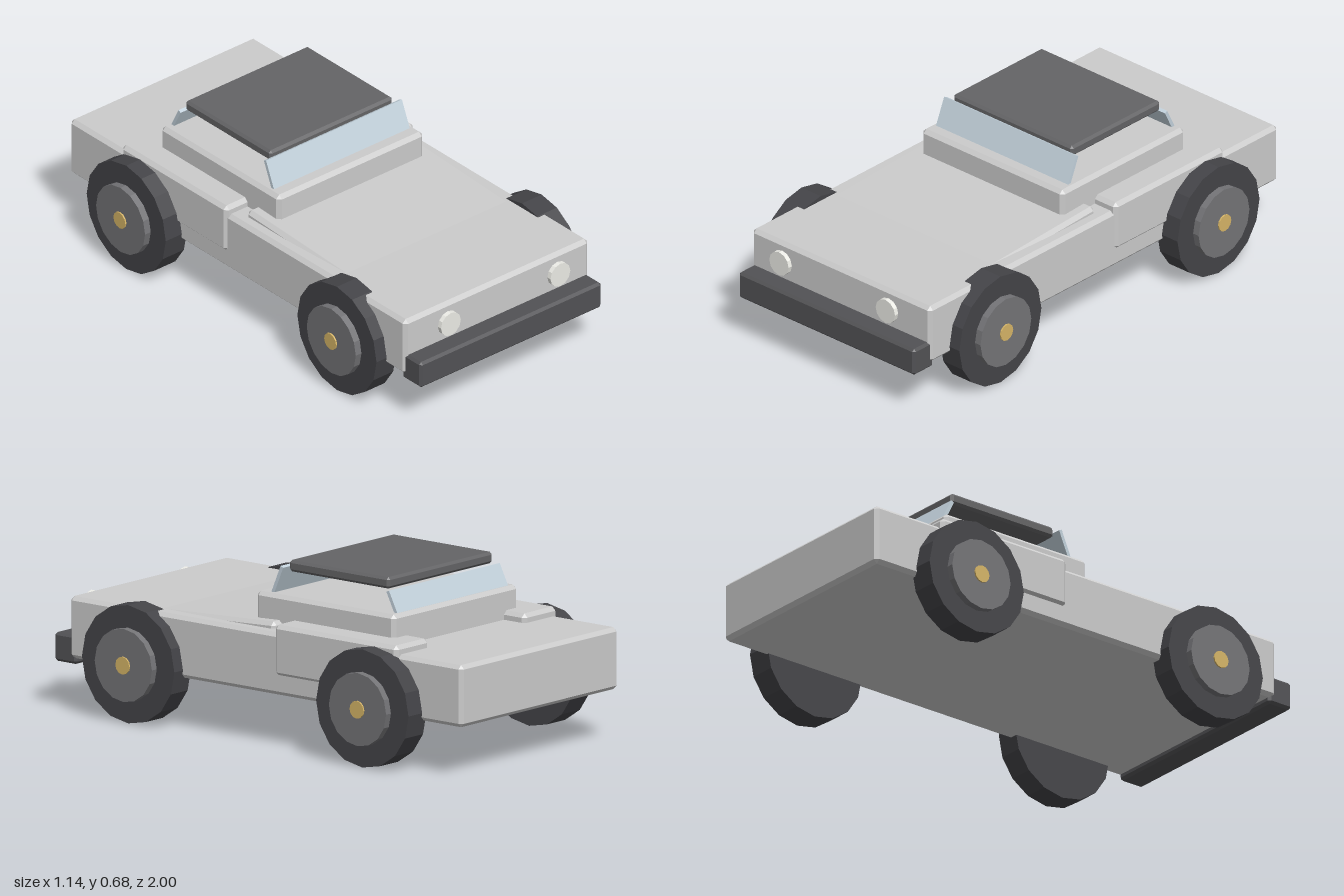
import * as THREE from 'three';
import { ConvexGeometry } from 'three/addons/geometries/ConvexGeometry.js';

const mat = (color) => new THREE.MeshStandardMaterial({ color, flatShading: true });
const grey = mat(0xcccccc), dark = mat(0x525255), roofMat = mat(0x646466), glass = mat(0xc3d2dc);
const rubber = mat(0x444448), rim = mat(0x747477), gold = mat(0xd6b567), lamp = mat(0xececE6);

// Box with a flat chamfer on every edge
function chamferBox(w, h, d, b) {
  const pts = [];
  for (const x of [-1, 1]) for (const y of [-1, 1]) for (const z of [-1, 1]) {
    const full = [w / 2, h / 2, d / 2];
    for (let axis = 0; axis < 3; axis++) {
      const p = full.map((v, i) => (i === axis ? v : v - b));
      pts.push(new THREE.Vector3(p[0] * x, p[1] * y, p[2] * z));
    }
  }
  return new ConvexGeometry(pts);
}

export function createModel() {
  const car = new THREE.Group();
  car.name = 'car';

  const add = (name, geometry, material, x, y, z, parent = car) => {
    const mesh = new THREE.Mesh(geometry, material);
    mesh.name = name;
    mesh.position.set(x, y, z);
    parent.add(mesh);
    return mesh;
  };
  // Chamfered box given by its [min, max] extents
  const block = (name, material, [x0, x1], [y0, y1], [z0, z1], b = 0.015) =>
    add(name, chamferBox(x1 - x0, y1 - y0, z1 - z0, b), material,
      (x0 + x1) / 2, (y0 + y1) / 2, (z0 + z1) / 2);

  // Body shell
  block('body', grey, [-0.455, 0.455], [0.195, 0.432], [-1, 0.92]);
  block('cabin', grey, [-0.36, 0.36], [0.4, 0.553], [-0.59, 0.088]);
  block('roof', roofMat, [-0.303, 0.303], [0.633, 0.677], [-0.515, -0.025], 0.01);
  block('frontBumper', dark, [-0.447, 0.447], [0.172, 0.282], [0.892, 1], 0.01);

  // Hood, tilted so that it rises towards the cabin
  const hood = add('hood', chamferBox(0.815, 0.05, 0.86, 0.015), grey, 0, 0.413, 0.385);
  hood.rotation.x = 0.047;

  // Sloping panes, each standing on the cabin top
  const pane = (name, w, y0, z0, y1, z1) => {
    const mesh = add(name, new THREE.BoxGeometry(w, Math.hypot(y1 - y0, z1 - z0), 0.014), glass,
      0, (y0 + y1) / 2, (z0 + z1) / 2);
    mesh.rotation.x = Math.atan2(z1 - z0, y1 - y0);
  };
  pane('windshield', 0.67, 0.545, 0.027, 0.655, -0.02);
  pane('rearWindow', 0.64, 0.545, -0.568, 0.63, -0.525);

  // Wheel: tyre, hub and cap along the x axis, outer face on +x
  const wheel = (name, side, outer, inner, z) => {
    const group = new THREE.Group();
    group.name = name;
    group.position.set(0, 0.226, z);
    const disc = (part, r, x0, x1, n, material) => {
      const geo = new THREE.CylinderGeometry(r, r, x1 - x0, n).rotateZ(Math.PI / 2);
      add(part, geo, material, side * (x0 + x1) / 2, 0, 0, group);
    };
    disc('tyre', 0.226, inner, outer, 16, rubber);
    disc('hub', 0.14, inner + 0.02, outer + 0.028, 16, rim);
    disc('hubCap', 0.034, inner + 0.04, outer + 0.034, 12, gold);
    car.add(group);
  };

  // Mirrored parts
  for (const s of [1, -1]) {
    const label = s > 0 ? 'left' : 'right';
    block(label + 'RearFender', grey, s > 0 ? [0.275, 0.466] : [-0.466, -0.275], [0.27, 0.466], [-0.692, -0.09]);
    const head = add(label + 'Headlight', new THREE.CylinderGeometry(0.049, 0.049, 0.018, 12), lamp, s * 0.27, 0.37, 0.958);
    head.rotation.x = Math.PI / 2;
    wheel(label + 'FrontWheel', s, 0.505, 0.408, 0.588);
    wheel(label + 'RearWheel', s, 0.534, 0.43, -0.582);
  }
  return car;
}
